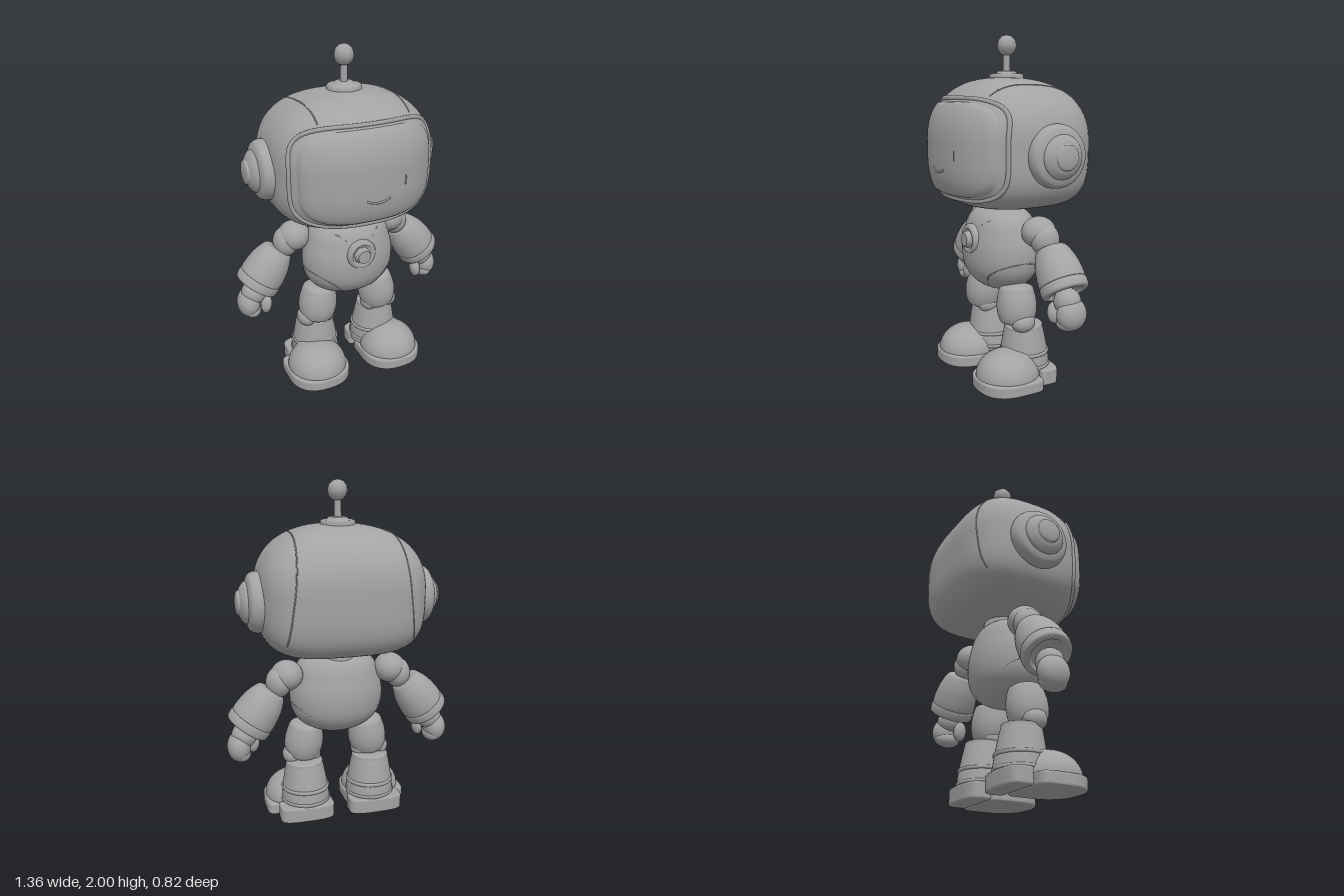
import * as THREE from 'three';
import { mergeVertices } from 'three/addons/utils/BufferGeometryUtils.js';

const grey = new THREE.MeshStandardMaterial({ color: 0xa3a3a3 });
grey.name = 'grey';
const V = (x, y, z) => new THREE.Vector3(x, y, z);

function add(parent, name, geometry, x = 0, y = 0, z = 0) {
  const mesh = new THREE.Mesh(geometry, grey);
  mesh.name = name;
  mesh.position.set(x, y, z);
  parent.add(mesh);
  return mesh;
}

// Turned part: [radius, height] profile, smoothed or used as given
function turned(profile, smooth = true, sides = 40) {
  let pts = profile.map(([r, h]) => new THREE.Vector2(r, h));
  if (smooth) pts = new THREE.SplineCurve(pts).getPoints(profile.length * 5);
  pts.forEach(p => { p.x = Math.max(p.x, 0); });
  return new THREE.LatheGeometry(pts, sides);
}

// Turned part whose axis starts at a point and runs along a direction
function turnedAlong(parent, name, from, dir, profile, smooth) {
  const mesh = add(parent, name, turned(profile, smooth), from.x, from.y, from.z);
  mesh.quaternion.setFromUnitVectors(V(0, 1, 0), dir.clone().normalize());
  return mesh;
}

function ball(parent, name, x, y, z, rx, ry = rx, rz = rx) {
  const mesh = add(parent, name, new THREE.SphereGeometry(1, 32, 20), x, y, z);
  mesh.scale.set(rx, ry, rz);
  return mesh;
}

function line(parent, name, pts, radius, closed = false) {
  const curve = new THREE.CatmullRomCurve3(pts, closed);
  return add(parent, name, new THREE.TubeGeometry(curve, pts.length * 4, radius, 6, closed));
}

// Moves vertices by a rule and rebuilds smooth normals without a seam
function shaped(geometry, rule) {
  geometry.deleteAttribute('uv');
  geometry.deleteAttribute('normal');
  const pos = geometry.attributes.position, p = V(0, 0, 0);
  for (let i = 0; i < pos.count; i++) {
    rule(p.fromBufferAttribute(pos, i));
    pos.setXYZ(i, p.x, p.y, p.z);
  }
  const merged = mergeVertices(geometry, 1e-5);
  merged.computeVertexNormals();
  return merged;
}

// Head form: rounded block, softer on top and front, squarer below and behind
const HEAD_Y = 1.39, A = 0.48, B = 0.37, SHELL = 0.385, GLASS = 0.41;
const nOf = z => (z > 0 ? 2.3 : 3.5);
const mOf = y => (y > 0 ? 2.4 : 3.8);
function headLevel(x, y, z) {
  const n = nOf(z), m = mOf(y), c = z > 0 ? SHELL : 0.41;
  const flat = Math.abs(x / A) ** n + Math.abs(z / c) ** n;
  return (flat ** (m / n) + Math.abs(y / B) ** m) ** (1 / m);
}
function frontZ(x, y, c) {
  const Y = y - HEAD_Y, m = mOf(Y);
  const r = Math.max(0, 1 - Math.abs(Y / B) ** m) ** (1 / m);
  return c * Math.max(0, r ** 2.3 - Math.abs(x / A) ** 2.3) ** (1 / 2.3);
}
// Rounded rectangle around the visor
function visorXY(angle, size) {
  const c = Math.cos(angle), s = Math.sin(angle);
  const k = size / (Math.abs(c) ** 4 + Math.abs(s) ** 4) ** 0.25;
  return [0.41 * k * c, 1.365 + 0.268 * k * s];
}

function buildHead(root) {
  const head = new THREE.Group();
  head.name = 'head';
  root.add(head);

  add(head, 'headShell', shaped(new THREE.SphereGeometry(1, 96, 72), p => {
    p.multiplyScalar(1 / headLevel(p.x, p.y, p.z));
    p.y += HEAD_Y;
  }));

  // Visor with its edge turned into the shell
  add(head, 'visor', shaped(new THREE.RingGeometry(0.001, 1, 80, 24), p => {
    const r = Math.hypot(p.x, p.y), [x, y] = visorXY(Math.atan2(p.y, p.x), r);
    const edge = Math.max(0, (r - 0.9) / 0.1);
    p.set(x, y, frontZ(x, y, GLASS) - 0.05 * edge ** 4);
  }));
  const rim = [];
  for (let i = 0; i < 64; i++) {
    const [x, y] = visorXY(i / 64 * Math.PI * 2, 1.04);
    rim.push(V(x, y, frontZ(x, y, SHELL) - 0.004));
  }
  line(head, 'visorRim', rim, 0.014, true);

  // Face
  const onGlass = ([x, y]) => V(x, y, frontZ(x, y, GLASS));
  line(head, 'mouth', [[-0.07, 1.255], [-0.035, 1.24], [0, 1.235], [0.035, 1.24], [0.07, 1.255]].map(onGlass), 0.006);
  line(head, 'faceMark', [[0.168, 1.31], [0.17, 1.335], [0.17, 1.365]].map(onGlass), 0.004);

  // Panel seams over the top and down the back, and ears
  for (const side of [-1, 1]) {
    const seam = [];
    for (let i = 0; i <= 30; i++) {
      const f = i / 30, angle = 0.85 + f * 2.95, x = 0.27 + 0.09 * f * f;
      const dy = Math.sin(angle), dz = Math.cos(angle);
      let t = 0.3;
      for (let k = 0; k < 30; k++) t /= headLevel(x, t * dy, t * dz);
      seam.push(V(side * x, HEAD_Y + t * dy, t * dz));
    }
    line(head, 'panelSeam', seam, 0.004);
    turnedAlong(head, 'ear', V(side * 0.43, 1.34, -0.065), V(side, 0, 0),
      [[0.15, 0], [0.17, 0.025], [0.172, 0.06], [0.155, 0.092], [0.118, 0.108]]);
    turnedAlong(head, 'earCap', V(side * 0.53, 1.34, -0.065), V(side, 0, 0),
      [[0.122, 0], [0.115, 0.018], [0.09, 0.038], [0.07, 0.047], [0.066, 0.058], [0.04, 0.066], [0, 0.07]]);
  }

  // Antenna
  const antenna = new THREE.Group();
  antenna.name = 'antenna';
  antenna.position.set(0, 1.74, -0.03);
  head.add(antenna);
  add(antenna, 'antennaBase', turned([[0.1, 0], [0.1, 0.03], [0.09, 0.04], [0.06, 0.045], [0.05, 0.055], [0, 0.058]], false));
  add(antenna, 'antennaStem', new THREE.CylinderGeometry(0.018, 0.022, 0.16, 12), 0, 0.12, 0);
  add(antenna, 'antennaBall', new THREE.SphereGeometry(0.06, 8, 6), 0, 0.2, 0);
}

function buildBody(root) {
  const body = new THREE.Group();
  body.name = 'body';
  root.add(body);
  add(body, 'neck', new THREE.CylinderGeometry(0.11, 0.12, 0.09, 32), 0, 1.01, -0.02);
  const torso = add(body, 'torso', turned([[0, 0.515], [0.11, 0.528], [0.2, 0.57], [0.257, 0.63], [0.28, 0.7],
    [0.282, 0.78], [0.265, 0.86], [0.235, 0.94], [0.18, 0.99], [0.1, 1.008], [0, 1.01]], true, 56), 0, 0, 0.01);
  torso.scale.z = 0.76;

  // Chest button
  const forward = V(0, 0, 1);
  turnedAlong(body, 'chestRing', V(0, 0.83, 0.17), forward,
    [[0.09, 0], [0.09, 0.045], [0.08, 0.06], [0.064, 0.062], [0.06, 0.05], [0, 0.05]], false);
  const button = add(body, 'chestButton', new THREE.CylinderGeometry(0.042, 0.055, 0.04, 7), 0, 0.83, 0.235);
  button.rotation.x = Math.PI / 2;

  // Collar and hip seams laid on the torso
  const radiusAt = y => {
    const prof = [[0.515, 0], [0.57, 0.2], [0.63, 0.257], [0.7, 0.28], [0.78, 0.282], [0.86, 0.265], [0.94, 0.235], [0.99, 0.18]];
    const i = Math.max(1, prof.findIndex(p => p[0] >= y));
    const [[y0, r0], [y1, r1]] = [prof[i - 1], prof[i]];
    return r0 + (r1 - r0) * (y - y0) / (y1 - y0);
  };
  const onTorso = ([angle, y]) => {
    const r = radiusAt(y);
    return V(r * Math.sin(angle), y, 0.01 + 0.76 * r * Math.cos(angle));
  };
  for (const s of [-1, 1]) {
    line(body, 'hipSeam', [[0.5, 0.57], [0.6, 0.63], [0.9, 0.68], [1.3, 0.71], [1.8, 0.71], [2.3, 0.66], [2.6, 0.58]].map(([a, y]) => onTorso([s * a, y])), 0.004);
    line(body, 'collarSeam', [[1.4, 0.97], [1, 0.96], [0.6, 0.95], [0.35, 0.92]].map(([a, y]) => onTorso([s * a, y])), 0.004);
  }
}

function buildArm(arm) {
  ball(arm, 'shoulder', 0.315, 0.9, -0.06, 0.095, 0.09, 0.1);
  ball(arm, 'upperArm', 0.365, 0.865, -0.07, 0.075, 0.09, 0.085);
  const dir = V(0.585, -0.81, 0), start = V(0.405, 0.825, -0.08);
  turnedAlong(arm, 'forearm', start, dir,
    [[0, 0], [0.075, 0.004], [0.098, 0.03], [0.12, 0.09], [0.131, 0.16], [0.132, 0.205], [0.126, 0.212]]);
  turnedAlong(arm, 'cuff', start.clone().addScaledVector(dir, 0.212), dir,
    [[0.126, 0], [0.134, 0.006], [0.134, 0.04], [0.126, 0.056], [0.1, 0.06], [0.08, 0.04], [0, 0.04]]);
  // Hand with curled fingers and a thumb
  ball(arm, 'wrist', 0.575, 0.565, -0.08, 0.075);
  ball(arm, 'palm', 0.61, 0.5, -0.085, 0.068, 0.09, 0.088);
  ball(arm, 'fingers', 0.595, 0.455, -0.08, 0.055, 0.05, 0.078);
  const thumb = ball(arm, 'thumb', 0.515, 0.492, -0.035, 0.033, 0.06, 0.04);
  thumb.rotation.z = 0.15;
}

// Slab from a plan outline: half-width w, z from back to front, rounded by exponent
function slab(w, back, front, frontPow, backPow, height) {
  const shape = new THREE.Shape(), mid = back + (front - back) * 0.45, pts = [];
  for (let i = 0; i < 48; i++) {
    const a = i / 48 * Math.PI * 2, c = Math.cos(a), s = Math.sin(a);
    const e = 2 / (s > 0 ? frontPow : backPow), d = s > 0 ? front - mid : mid - back;
    pts.push(new THREE.Vector2(w * Math.sign(c) * Math.abs(c) ** e, -(mid + d * Math.sign(s) * Math.abs(s) ** e)));
  }
  shape.setFromPoints(pts);
  const bevel = 0.012;
  const g = new THREE.ExtrudeGeometry(shape, { depth: height - 2 * bevel, bevelSize: bevel, bevelOffset: -bevel, bevelThickness: bevel, bevelSegments: 3 });
  return g.translate(0, 0, bevel).rotateX(-Math.PI / 2);
}

function buildLeg(leg) {
  turnedAlong(leg, 'thigh', V(0.215, 0.345, 0.02), V(-0.03, 0.24, -0.01),
    [[0, 0], [0.08, 0.005], [0.108, 0.045], [0.117, 0.11], [0.107, 0.18], [0.085, 0.225], [0, 0.245]]);
  ball(leg, 'outerKnee', 0.275, 0.37, 0.015, 0.06, 0.06, 0.072);
  ball(leg, 'innerKnee', 0.15, 0.365, 0.015, 0.05, 0.055, 0.068);
  turnedAlong(leg, 'shin', V(0.205, 0.06, -0.035), V(0.005, 0.28, 0.01),
    [[0.145, 0], [0.146, 0.05], [0.14, 0.11], [0.127, 0.19], [0.113, 0.26], [0.1, 0.285], [0, 0.295]]);
  for (const [y, r] of [[0.105, 0.147], [0.18, 0.141]]) {
    const band = add(leg, 'ankleBand', new THREE.TorusGeometry(r - 0.007, 0.012, 8, 48), 0.206, y, -0.033);
    band.rotation.x = Math.PI / 2;
  }
  // Shoe
  add(leg, 'toeSole', slab(0.19, -0.045, 0.3, 2.4, 8, 0.07), 0.25);
  add(leg, 'heelSole', slab(0.165, -0.185, -0.052, 10, 3, 0.095), 0.215);
  const toe = add(leg, 'toeCap', new THREE.SphereGeometry(1, 40, 14, 0, Math.PI * 2, 0, Math.PI / 2), 0.25, 0.065, 0.105);
  toe.scale.set(0.18, 0.155, 0.185);
  const tongue = ball(leg, 'shoeTongue', 0.23, 0.13, 0.04, 0.135, 0.1, 0.11);
  tongue.rotation.x = 0.2;
}

export function createModel() {
  const root = new THREE.Group();
  root.name = 'toyRobot';
  buildHead(root);
  buildBody(root);
  for (const [side, s] of [['left', 1], ['right', -1]]) {
    for (const [part, build] of [['Arm', buildArm], ['Leg', buildLeg]]) {
      const limb = new THREE.Group();
      limb.name = side + part;
      build(limb);
      limb.scale.x = s;
      root.add(limb);
    }
  }
  return root;
}
